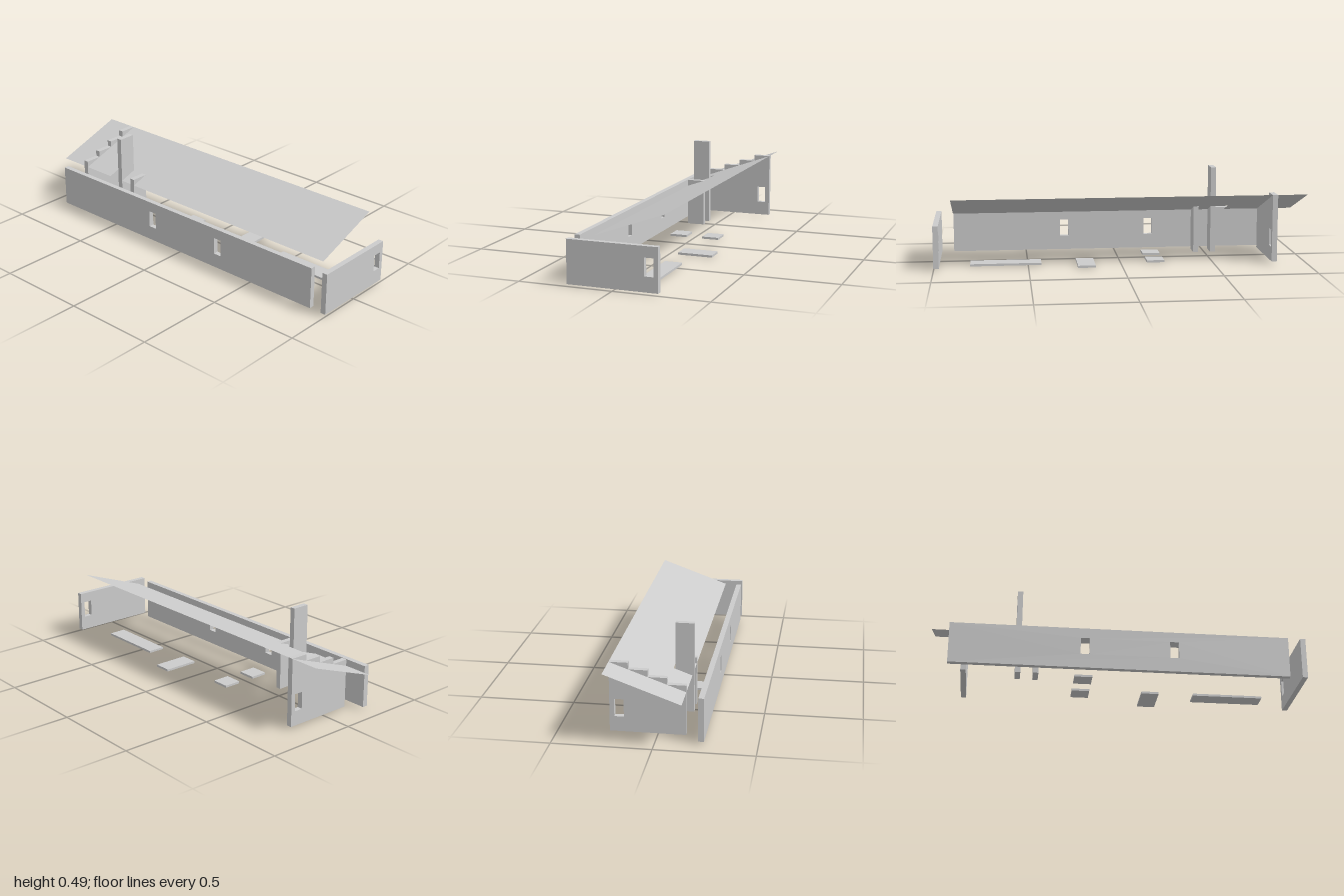
import * as THREE from 'three';

const CELL = 2 / 21;          // planning grid
const T = 0.0286;             // wall thickness
const BASE = 0.0119, EAVE = 0.238, RIDGE = 0.375;
const X0 = -1.5 * CELL, X1 = 2.5 * CELL;   // roofed span

const grey = new THREE.MeshStandardMaterial({ color: 0xcccccc });
grey.name = 'plain grey';
const greySheet = new THREE.MeshStandardMaterial({ color: 0xcccccc, side: THREE.DoubleSide });
greySheet.name = 'plain grey sheet';

const toShape = (pts) => new THREE.Shape(pts.map(([x, y]) => new THREE.Vector2(x, y)));

// Upright panel with window holes centred at the given positions
function panel(name, pts, windows) {
  const shape = toShape(pts);
  for (const c of windows) {
    const w = CELL / 4;
    shape.holes.push(new THREE.Path([
      [c - w, 0.09], [c - w, 0.182], [c + w, 0.182], [c + w, 0.09],
    ].map(([x, y]) => new THREE.Vector2(x, y))));
  }
  const geo = new THREE.ExtrudeGeometry(shape, { depth: T, bevelEnabled: false });
  const mesh = new THREE.Mesh(geo, grey);
  mesh.name = name;
  return mesh;
}

const rect = (a, b, y0, y1) => [[a, y0], [b, y0], [b, y1], [a, y1]];

// Box from its limits
function block(name, x0, x1, y0, y1, z0, z1) {
  const mesh = new THREE.Mesh(new THREE.BoxGeometry(x1 - x0, y1 - y0, z1 - z0), grey);
  mesh.position.set((x0 + x1) / 2, (y0 + y1) / 2, (z0 + z1) / 2);
  mesh.name = name;
  return mesh;
}

export function createModel() {
  const model = new THREE.Group();
  model.name = 'longHouse';

  // Front wall with one window
  const front = panel('frontWall', rect(-X1, X1, BASE, EAVE), [2 * CELL]);
  front.position.z = 1 - T;
  model.add(front);

  // Long side wall with two windows, running along z
  const side = panel('sideWall', rect(-9.5 * CELL, 9.5 * CELL, BASE, EAVE), [-3 * CELL, 2 * CELL]);
  side.rotation.y = -Math.PI / 2;
  side.scale.x = 1;
  side.position.x = -X1 + T;
  // Local x maps to +z, so the windows are mirrored into place
  side.geometry.dispose();
  side.geometry = panel('', rect(-9.5 * CELL, 9.5 * CELL, BASE, EAVE), [3 * CELL, -2 * CELL]).geometry;
  model.add(side);

  // Back wall with a stepped top that follows the roof slope
  const steps = [[X0, BASE], [X1, BASE]];
  for (let i = 3; i >= 0; i--) {
    const y = EAVE + (RIDGE - EAVE) * (i + 1) / 4;
    steps.push([X0 + (i + 1) * CELL, y], [X0 + i * CELL, y]);
  }
  const back = panel('backWall', steps, [2 * CELL]);
  back.position.z = -8.5 * CELL - T;
  model.add(back);

  // Inner pier and tall chimney slab
  const pierZ = -4.5 * CELL, stackZ = -5.5 * CELL;
  const pierTop = EAVE + (RIDGE - EAVE) / 4;
  model.add(block('innerPier', X0, X0 + CELL, BASE, pierTop, pierZ - T, pierZ));
  model.add(block('chimneySlab', X0, X0 + CELL, BASE, 0.49, stackZ - T, stackZ));

  // Sloping roof sheet with a one-cell notch behind the chimney face
  const n0 = -stackZ, n1 = n0 + CELL;
  const roofGeo = new THREE.ShapeGeometry(toShape([
    [X0, -9.5 * CELL], [X1, -9.5 * CELL], [X1, 1], [X0, 1],
    [X0, n1], [X0 + CELL, n1], [X0 + CELL, n0], [X0, n0],
  ]));
  roofGeo.rotateX(-Math.PI / 2);
  const p = roofGeo.attributes.position;
  for (let i = 0; i < p.count; i++) {
    p.setY(i, EAVE + (RIDGE - EAVE) * (p.getX(i) - X0) / (X1 - X0));
  }
  roofGeo.computeVertexNormals();
  const roof = new THREE.Mesh(roofGeo, greySheet);
  roof.name = 'roofSheet';
  model.add(roof);

  // Loose floor plates: x and z limits in grid cells
  const plates = [
    [0.5, 1.5, 4.5, 8.5], [0.5, 2.5, 1.5, 2.5],
    [0.5, 1.5, -2.5, -1.5], [-1.5, -0.5, -2.5, -1.5],
  ];
  plates.forEach(([a, b, c, d], i) => model.add(
    block(`floorPlate${i + 1}`, a * CELL, b * CELL, 0, BASE, c * CELL, d * CELL)));

  return model;
}
